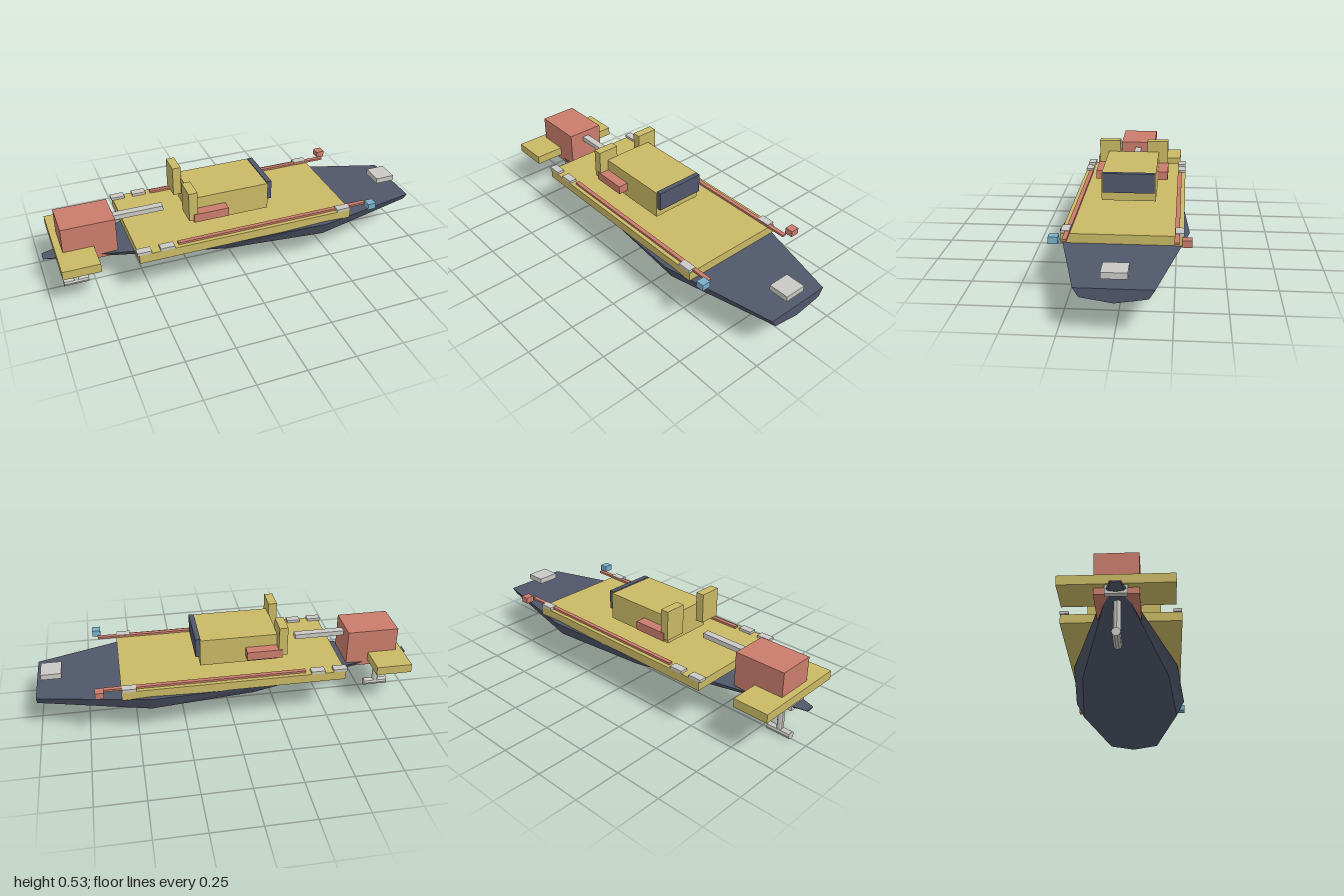
import * as THREE from 'three';

const mat = (name, color) => Object.assign(new THREE.MeshStandardMaterial({ color, flatShading: true }), { name });

// Hull from cross-sections: x, [half width, y] for deck edge and chine, keel y
function hullGeometry() {
  const stations = [
    [-1.0, 0.025, 0.213, 0.02, 0.208, 0.205],
    [-0.1, 0.27, 0.245, 0.225, 0.181, 0.145],
    [0.43, 0.315, 0.26, 0.27, 0.174, 0.127],
    [1.0, 0.174, 0.234, 0.148, 0.191, 0.167],
  ].map(([x, w, y, cw, cy, k]) => [[x, y, w], [x, cy, cw], [x, k, 0], [x, cy, -cw], [x, y, -w]]);
  const pos = [];
  const tri = (...pts) => pts.forEach((p) => pos.push(...p));
  for (let s = 0; s < stations.length - 1; s++) {
    const a = stations[s], b = stations[s + 1];
    for (let i = 0; i < 5; i++) {
      const j = (i + 1) % 5;
      tri(a[j], b[j], b[i]);
      tri(a[j], b[i], a[i]);
    }
  }
  const first = stations[0], last = stations[stations.length - 1];
  for (let i = 1; i < 4; i++) {
    tri(last[0], last[i], last[i + 1]);
    tri(first[0], first[i + 1], first[i]);
  }
  const g = new THREE.BufferGeometry();
  g.setAttribute('position', new THREE.Float32BufferAttribute(pos, 3));
  g.computeVertexNormals();
  return g;
}

export function createModel() {
  const model = new THREE.Group();
  model.name = 'boat';
  const olive = mat('olive', 0xc9b865);
  const red = mat('brick red', 0xc97c6b);
  const navy = mat('navy', 0x50576a);
  const grey = mat('light grey', 0xc9c8c4);
  const blue = mat('pale blue', 0x7aaec9);

  const add = (name, geometry, material) => {
    const mesh = new THREE.Mesh(geometry, material);
    mesh.name = name;
    model.add(mesh);
    return mesh;
  };
  // Box given by its lower and upper limits
  const box = (name, material, x0, x1, y0, y1, z0, z1) => {
    const m = add(name, new THREE.BoxGeometry(x1 - x0, y1 - y0, z1 - z0), material);
    m.position.set((x0 + x1) / 2, (y0 + y1) / 2, (z0 + z1) / 2);
    return m;
  };
  // Same box on both sides of the centre line
  const pair = (name, material, x0, x1, y0, y1, z0, z1) => {
    box(name + 'Left', material, x0, x1, y0, y1, z0, z1);
    box(name + 'Right', material, x0, x1, y0, y1, -z1, -z0);
  };

  // Hull and deck
  add('hull', hullGeometry(), navy);
  box('deck', olive, -0.57, 0.575, 0.253, 0.3, -0.288, 0.288);
  box('bowPlate', grey, 0.87, 0.975, 0.266, 0.296, -0.058, 0.058);

  // Cabin with windscreen, fins and side arms
  box('cabin', olive, -0.24, 0.162, 0.32, 0.466, -0.139, 0.139);
  box('windscreen', navy, 0.158, 0.185, 0.369, 0.471, -0.132, 0.132);
  pair('fin', olive, -0.282, -0.237, 0.37, 0.527, 0.075, 0.189);
  pair('sideArm', red, -0.257, -0.073, 0.358, 0.404, 0.135, 0.193);

  // Stern engine block, platform and boom
  box('engineBlock', red, -0.908, -0.635, 0.203, 0.41, -0.1, 0.1);
  box('sternPlatform', olive, -0.942, -0.753, 0.234, 0.28, -0.257, 0.257);
  box('boom', grey, -0.64, -0.367, 0.352, 0.378, -0.019, 0.019);
  box('sternBracket', grey, -0.932, -0.905, 0.192, 0.234, -0.05, 0.05);

  // Drive leg and pod
  add('driveLeg', new THREE.CylinderGeometry(0.017, 0.017, 0.2, 12), grey).position.set(-0.85, 0.125, 0);
  const pod = add('drivePod', new THREE.CylinderGeometry(0.02, 0.02, 0.13, 10), grey);
  pod.rotation.z = Math.PI / 2;
  pod.position.set(-0.85, 0.02, 0);

  // Rails, cleats and side lights
  pair('rail', red, -0.365, 0.675, 0.3, 0.311, 0.245, 0.267);
  for (const x of [-0.543, -0.426, 0.536]) pair('cleat', grey, x - 0.036, x + 0.036, 0.299, 0.314, 0.247, 0.288);
  box('lightLeft', blue, 0.66, 0.703, 0.3, 0.333, 0.279, 0.325);
  box('lightRight', red, 0.66, 0.703, 0.3, 0.333, -0.325, -0.279);

  return model;
}
